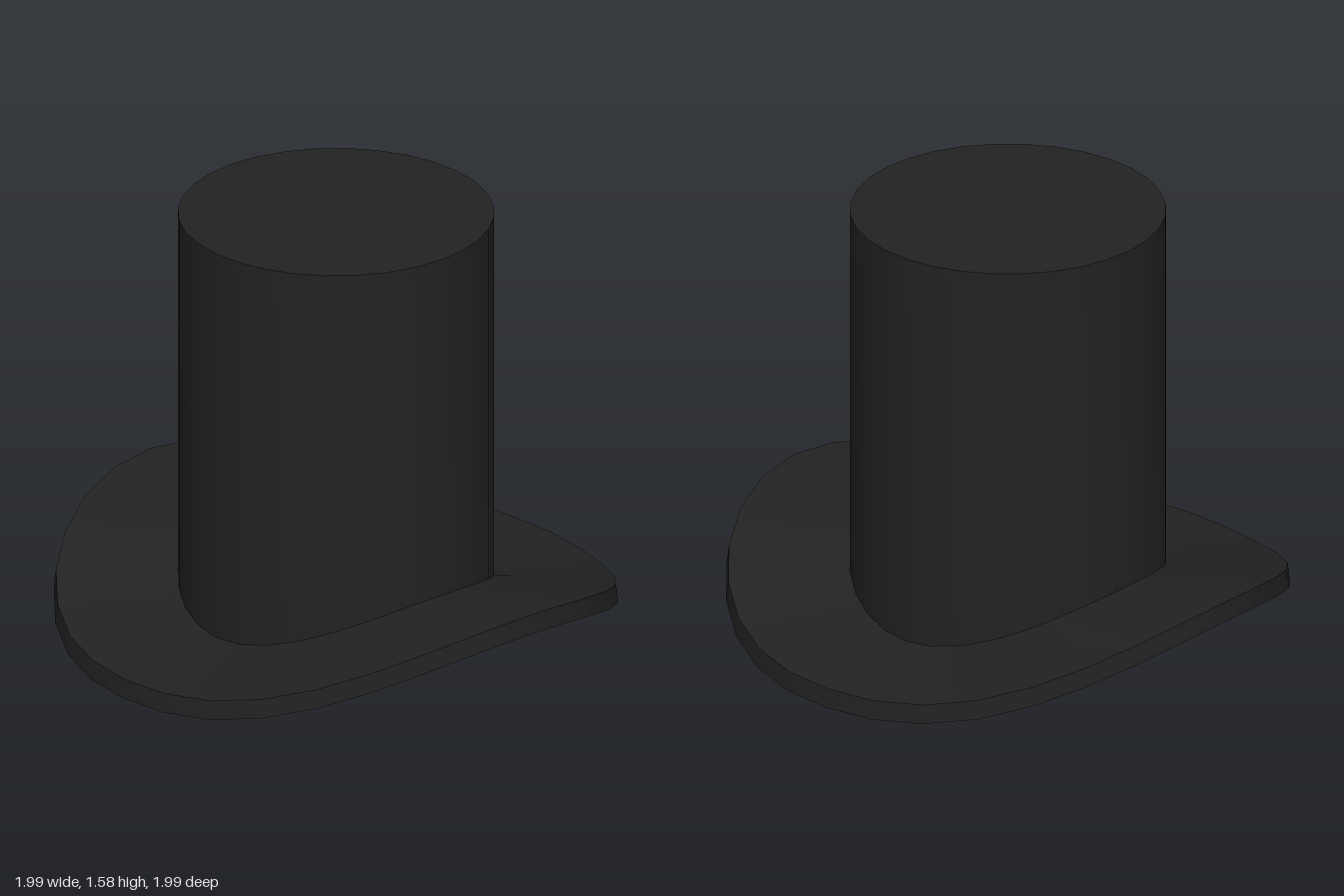
import * as THREE from 'three';
import { toCreasedNormals } from 'three/addons/utils/BufferGeometryUtils.js';

const SIDES = 32;
const material = new THREE.MeshStandardMaterial({ color: 0x222222 });

// Lathe a profile of [radius, y, lift, power]; lift raises the ring towards front and back
function bentLathe(name, profile) {
  const points = profile.map(([r, y]) => new THREE.Vector2(r, y));
  const geometry = new THREE.LatheGeometry(points, SIDES);
  const pos = geometry.attributes.position;
  for (let i = 0; i < pos.count; i++) {
    const [r, y, lift = 0, power = 2] = profile[i % profile.length];
    if (!lift) continue;
    const c = Math.min(1, Math.abs(pos.getZ(i)) / r);
    pos.setY(i, y + lift * Math.pow(c, power));
  }
  const mesh = new THREE.Mesh(toCreasedNormals(geometry, 0.7), material);
  mesh.name = name;
  return mesh;
}

export function createModel() {
  const hat = new THREE.Group();
  hat.name = 'topHat';

  // Rings where the brim meets the lining and the crown
  const innerBottom = [0.51, 0.05, 0.19, 1.95];
  const innerTop = [0.557, 0.105, 0.185, 1.95];

  // Brim: underside, rim and top, drooping at the sides
  hat.add(bentLathe('brim', [
    innerBottom,
    [0.995, 0, 0.275, 2.7],
    [0.987, 0.07, 0.275, 2.7],
    innerTop,
  ]));

  // Crown: straight wall with a flat top
  hat.add(bentLathe('crown', [innerTop, [0.557, 1.58], [0, 1.58]]));

  // Lining: hollow inside of the crown, facing inwards
  hat.add(bentLathe('lining', [[0, 1.53], [0.51, 1.53], innerBottom]));

  return hat;
}
